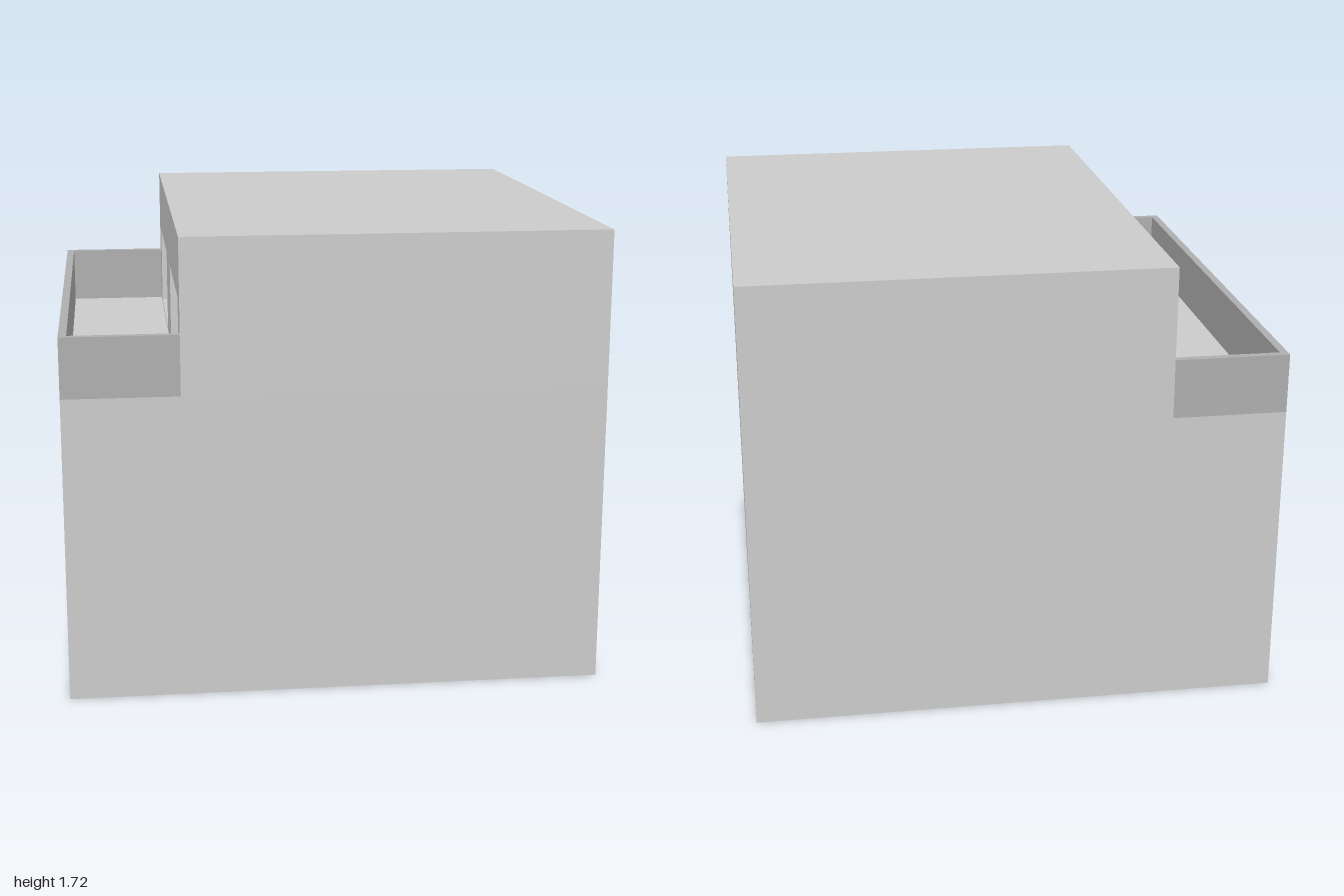
import * as THREE from 'three';

const FLOOR = 1.145, TOP = 1.72, RIM = 1.37, WALL_X = -0.57, RECESS = 0.06;

const material = (color) => new THREE.MeshStandardMaterial({ color, flatShading: true });

function rect(PathType, x0, y0, x1, y1) {
  const p = new PathType();
  p.moveTo(x0, y0);
  p.lineTo(x1, y0);
  p.lineTo(x1, y1);
  p.lineTo(x0, y1);
  p.closePath();
  return p;
}

export function createModel() {
  const group = new THREE.Group();
  const grey = material(0xcccccc);

  const add = (name, geometry, mat) => {
    const mesh = new THREE.Mesh(geometry, mat);
    mesh.name = name;
    group.add(mesh);
    return mesh;
  };
  const block = (name, x0, x1, y0, y1) => {
    const mesh = add(name, new THREE.BoxGeometry(x1 - x0, y1 - y0, 2), grey);
    mesh.position.set((x0 + x1) / 2, (y0 + y1) / 2, 0);
  };

  // Ground floor, whose roof is the terrace, and the set-back upper floor
  block('groundFloor', -1, 1, 0, FLOOR);
  block('upperFloor', WALL_X + RECESS, 1, FLOOR, TOP);

  // Terrace wall with two recessed openings
  const wall = rect(THREE.Shape, -1, FLOOR, 1, TOP);
  for (const [z0, z1] of [[-0.85, -0.2], [0.14, 0.86]]) {
    wall.holes.push(rect(THREE.Path, z0, 1.157, z1, 1.48));
  }
  const wallGeometry = new THREE.ExtrudeGeometry(wall, { depth: RECESS, bevelEnabled: false });
  wallGeometry.rotateY(-Math.PI / 2).translate(WALL_X + RECESS, 0, 0);
  add('terraceWall', wallGeometry, grey);

  // U-shaped parapet around the terrace
  const plan = new THREE.Shape([
    [WALL_X, -1], [WALL_X, -0.97], [-0.97, -0.97], [-0.97, 0.97],
    [WALL_X, 0.97], [WALL_X, 1], [-1, 1], [-1, -1],
  ].map(([x, z]) => new THREE.Vector2(x, z)));
  const parapet = new THREE.ExtrudeGeometry(plan, { depth: RIM - FLOOR, bevelEnabled: false });
  parapet.rotateX(-Math.PI / 2).translate(0, FLOOR, 0);
  add('parapet', parapet, material(0xaeaeae));

  // Entrance door, almost flush with the wall under the terrace
  const door = add('door', new THREE.BoxGeometry(0.004, 0.75, 0.54), material(0xc9963c));
  door.position.set(-1, 0.375, -0.28);

  return group;
}
